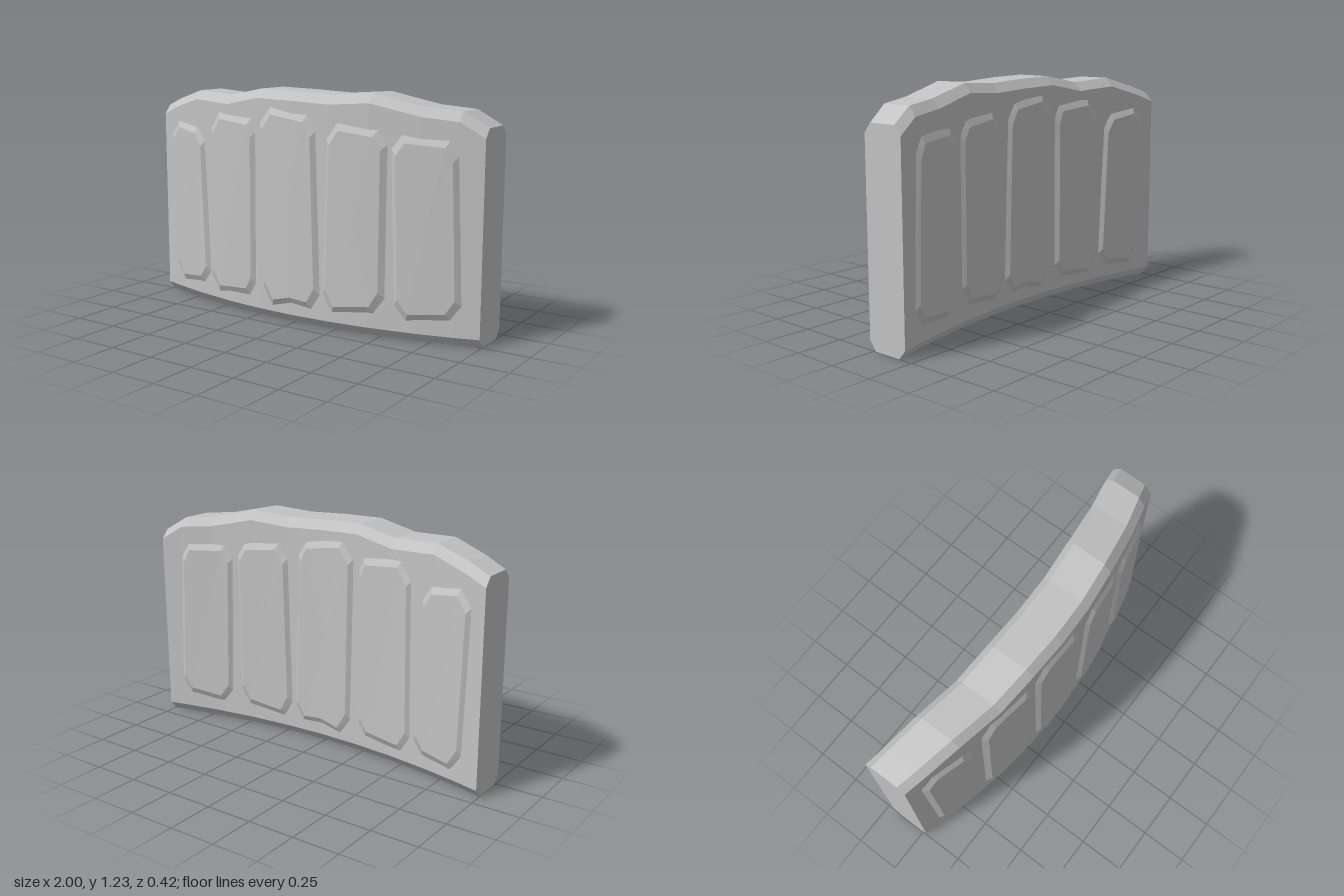
import * as THREE from 'three';

const stone = new THREE.MeshStandardMaterial({ color: 0xc3c3c3, flatShading: true });
stone.name = 'light grey stone';

// Curved faces of the wall: z as a function of x
const frontZ = x => 0.19 - 0.163 * x * x;
const backZ = x => -0.082 - 0.128 * x * x;

function meshFrom(name, triangles) {
  const g = new THREE.BufferGeometry();
  g.setAttribute('position', new THREE.Float32BufferAttribute(triangles.flat(2), 3));
  g.computeVertexNormals();
  const m = new THREE.Mesh(g, stone);
  m.name = name;
  return m;
}

// Uneven top edge, as [x, y]
const crest = [[-1, 1.095], [-0.88, 1.14], [-0.69, 1.195], [-0.44, 1.182], [-0.22, 1.225], [0, 1.22],
  [0.22, 1.21], [0.44, 1.225], [0.7, 1.168], [0.88, 1.15], [1, 1.075]];

// Wall body: chamfered cross-sections joined along x
function wall() {
  const c = 0.04, h = 0.047;
  const rings = crest.map(([x, top]) => {
    const f = frontZ(x), b = backZ(x);
    return [[f, h], [f, top - h], [f - c, top], [b + c, top], [b, top - h], [b, h], [b + c, 0], [f - c, 0]]
      .map(([z, y]) => [x, y, z]);
  });
  const tris = [];
  for (let i = 0; i < rings.length - 1; i++) {
    const p = rings[i], q = rings[i + 1];
    for (let j = 0; j < 8; j++) {
      const k = (j + 1) % 8;
      tris.push([p[j], q[j], q[k]], [p[j], q[k], p[k]]);
    }
  }
  const first = rings[0], last = rings[rings.length - 1];
  for (let j = 1; j < 7; j++) {
    tris.push([first[0], first[j], first[j + 1]], [last[0], last[j + 1], last[j]]);
  }
  return meshFrom('wallBody', tris);
}

// Slab outlines, clockwise from the front
const slabs = [
  [[-0.925, 0.94], [-0.86, 1.02], [-0.685, 0.995], [-0.63, 0.92], [-0.595, 0.185], [-0.65, 0.115], [-0.835, 0.095], [-0.9, 0.19]],
  [[-0.565, 1.0], [-0.5, 1.09], [-0.265, 1.07], [-0.235, 1.0], [-0.24, 0.18], [-0.285, 0.11], [-0.52, 0.09], [-0.58, 0.18]],
  [[-0.205, 1.05], [-0.135, 1.135], [0.095, 1.105], [0.145, 1.025], [0.172, 0.18], [0.122, 0.1], [0, 0.11], [-0.125, 0.08], [-0.19, 0.175]],
  [[0.212, 0.995], [0.27, 1.075], [0.487, 1.05], [0.535, 0.98], [0.53, 0.21], [0.475, 0.125], [0.245, 0.098], [0.19, 0.19]],
  [[0.56, 0.96], [0.61, 1.03], [0.84, 1.015], [0.883, 0.94], [0.912, 0.205], [0.86, 0.13], [0.645, 0.108], [0.582, 0.185]],
];

// Raised slab with bevelled rim; side is 1 for front, -1 for back
function slab(outline, side) {
  const surface = side > 0 ? frontZ : backZ;
  const at = ([x, y], lift) => [x, y, surface(x) + side * lift];
  const xs = outline.map(p => p[0]), ys = outline.map(p => p[1]);
  const mid = [xs, ys].map(v => (Math.min(...v) + Math.max(...v)) / 2);
  const half = [xs, ys].map(v => (Math.max(...v) - Math.min(...v)) / 2);
  // Move the outline outwards by a margin on each axis
  const grow = (p, ...margin) => p.map((v, i) => mid[i] + (v - mid[i]) * (1 + margin[i] / half[i]));
  const outer = outline.map(p => at(grow(p, 0.01, 0.012), -0.008));
  const inner = outline.map(p => at(grow(p, -0.026, -0.037), 0.017));
  const centre = at(mid, 0.016);
  const tris = [];
  outline.forEach((_, j) => {
    const k = (j + 1) % outline.length;
    tris.push([centre, inner[k], inner[j]], [inner[j], inner[k], outer[k]], [inner[j], outer[k], outer[j]]);
  });
  if (side < 0) tris.forEach(t => t.reverse());
  return meshFrom(side > 0 ? 'frontSlab' : 'backSlab', tris);
}

export function createModel() {
  const group = new THREE.Group();
  group.name = 'curvedStoneWall';
  group.add(wall());
  for (const outline of slabs) group.add(slab(outline, 1), slab(outline, -1));
  return group;
}
